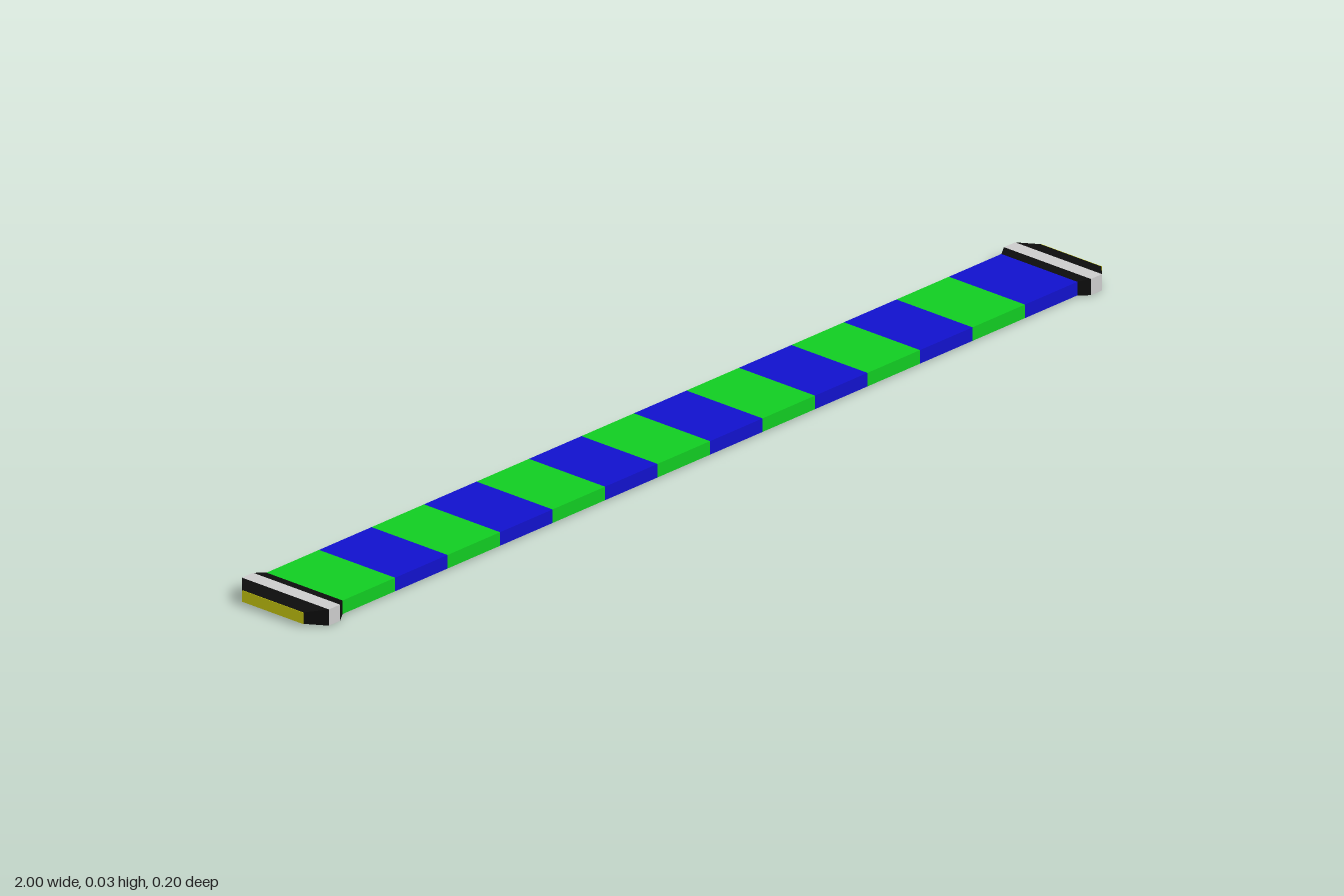
import * as THREE from 'three';

const MID_Y = 0.015;
const paint = (color) => new THREE.MeshStandardMaterial({ color, flatShading: true });

// Box along x from x0 to x1 whose end sections have their own [height, depth]
function taperedBox(x0, x1, [h0, d0], [h1, d1]) {
  const geo = new THREE.BoxGeometry(1, 1, 1);
  const p = geo.attributes.position;
  for (let i = 0; i < p.count; i++) {
    const far = p.getX(i) > 0;
    p.setXYZ(i, far ? x1 : x0, p.getY(i) * (far ? h1 : h0), p.getZ(i) * (far ? d1 : d0));
  }
  geo.computeVertexNormals();
  return geo;
}

export function createModel() {
  const model = new THREE.Group();
  const green = paint(0x11cc22);
  const blue = paint(0x1111cc);
  const black = paint(0x0c0c0c);
  const yellow = paint(0xcccc11);
  const grey = paint(0xcccccc);

  const add = (parent, name, geo, mat) => {
    const mesh = new THREE.Mesh(geo, mat);
    mesh.name = name;
    parent.add(mesh);
    return mesh;
  };

  // Striped strip, alternating along its length
  const strip = new THREE.Group();
  strip.name = 'strip';
  strip.position.y = MID_Y;
  const count = 14, start = -0.92, step = 1.84 / count;
  for (let i = 0; i < count; i++) {
    const segment = add(strip, 'stripSegment', new THREE.BoxGeometry(step, 0.025, 0.175), i % 2 ? blue : green);
    segment.position.x = start + (i + 0.5) * step;
  }
  model.add(strip);

  // End caps: inner bevel, grey band, outer bevel and yellow end plate
  const inner = [0.025, 0.175], band = [0.03, 0.2], outer = [0.021, 0.14];
  for (const side of [1, -1]) {
    const cap = new THREE.Group();
    cap.name = side > 0 ? 'leftCap' : 'rightCap';
    add(cap, 'innerBevel', taperedBox(0.92, 0.94, inner, band), black);
    add(cap, 'capBand', taperedBox(0.94, 0.968, band, band), grey);
    add(cap, 'outerBevel', taperedBox(0.968, 0.999, band, outer), black);
    add(cap, 'endPlate', taperedBox(0.998, 1, outer, outer), yellow);
    cap.position.y = MID_Y;
    cap.rotation.y = side > 0 ? 0 : Math.PI;
    model.add(cap);
  }
  return model;
}
